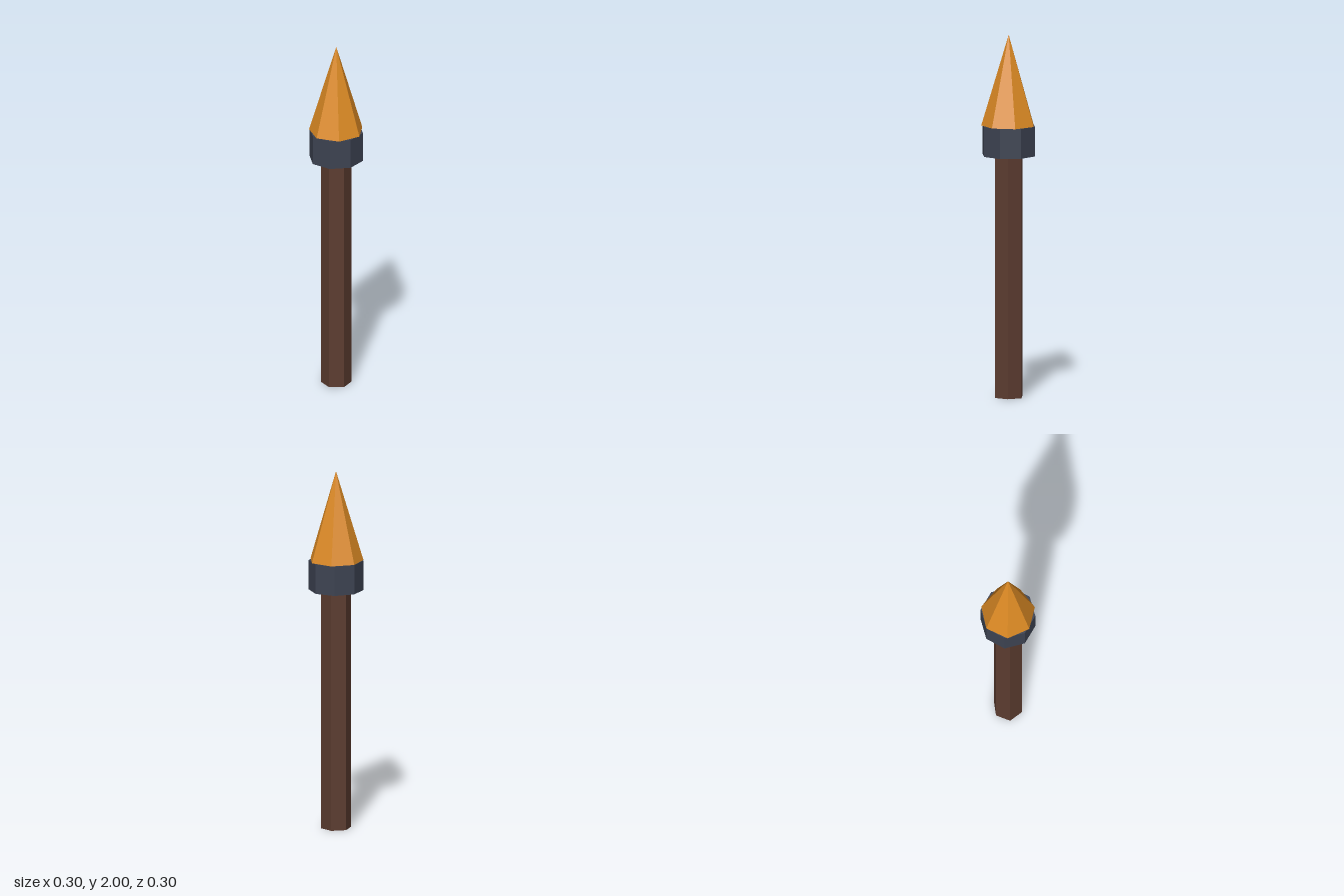
import * as THREE from 'three';

const flat = (name, color) => {
  const material = new THREE.MeshStandardMaterial({ color, flatShading: true });
  material.name = name;
  return material;
};

export function createModel() {
  const wood = flat('dark wood', 0x5c3c30);
  const iron = flat('slate iron', 0x3d4352);
  const amber = flat('amber', 0xdc8a24);

  const model = new THREE.Group();
  model.name = 'torch';

  const add = (name, geometry, material, bottom) => {
    const mesh = new THREE.Mesh(geometry, material);
    mesh.name = name;
    mesh.position.y = bottom + geometry.parameters.height / 2;
    model.add(mesh);
    return mesh;
  };

  // Six-sided shaft, eight-sided collar, seven-sided pointed tip
  add('shaft', new THREE.CylinderGeometry(0.083, 0.083, 1.335, 6), wood, 0);
  add('collar', new THREE.CylinderGeometry(0.15, 0.15, 0.165, 8), iron, 1.335);
  const tip = add('tip', new THREE.ConeGeometry(0.15, 0.5, 7), amber, 1.5);
  tip.rotation.y = Math.PI; // flat face forward, corner at the back

  return model;
}
